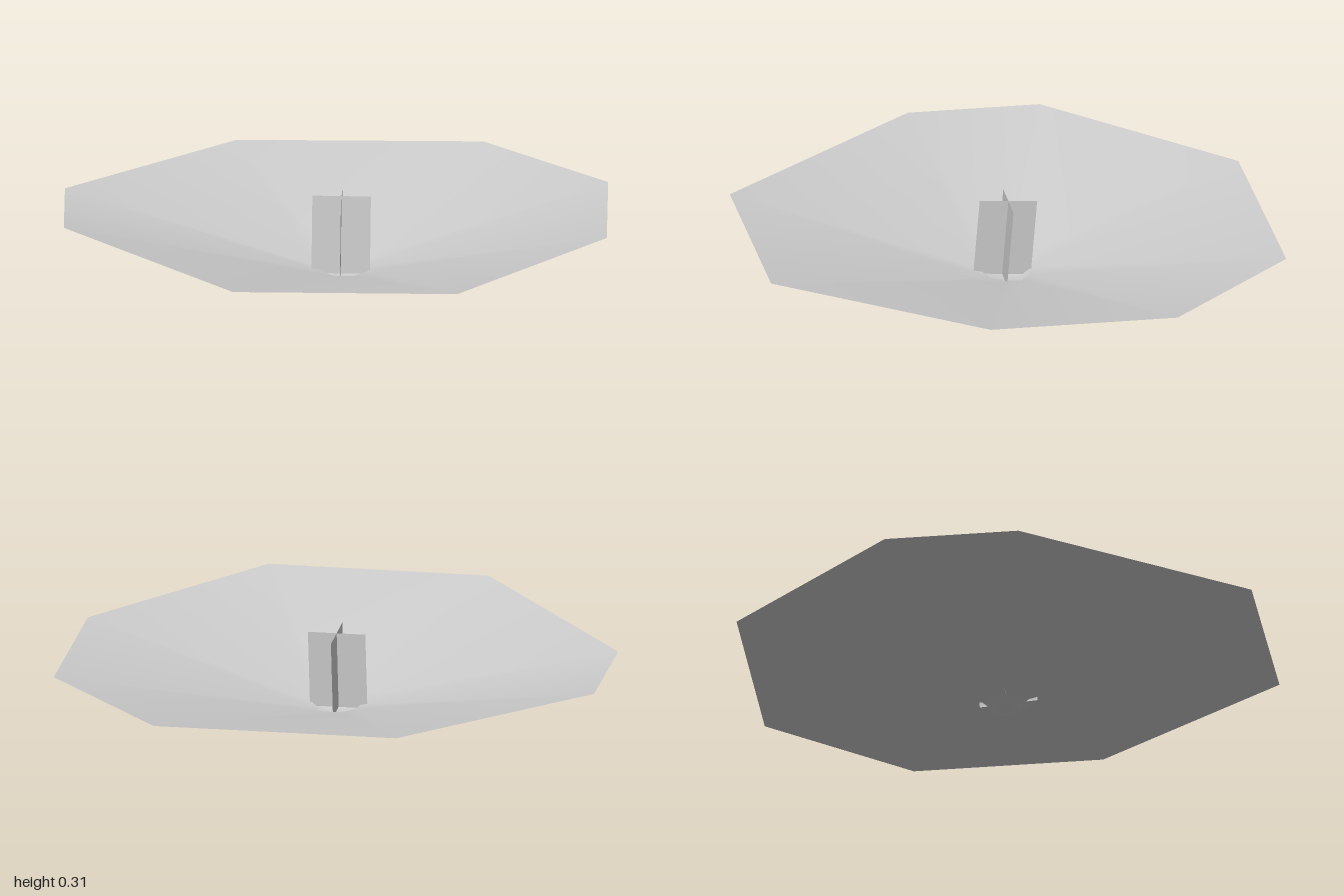
import * as THREE from 'three';

export function createModel() {
  const model = new THREE.Group();
  const gray = new THREE.MeshStandardMaterial({ color: 0xcccccc, side: THREE.DoubleSide });
  gray.name = 'lightGray';

  // Uneven eight-sided outline of the dish, clockwise from above (x, z)
  const outline = [
    [-0.28, -0.97], [0.6, -0.88], [1, -0.35], [0.93, 0.33],
    [0.33, 0.97], [-0.47, 0.88], [-1, 0.05], [-0.95, -0.43],
  ];
  // Cross-sections from the foot up to the rim: scale, height, sideways shift
  const rings = [
    { scale: 0.058, y: 0.003, dx: 0.013, dz: -0.005 },
    { scale: 0.09, y: 0.03, dx: 0.013, dz: -0.008 },
    { scale: 1, y: 0.229, dx: 0, dz: 0 },
  ];

  // Shallow, slightly tilted dish: a closed foot joined to a wide cone
  const n = outline.length;
  const positions = [0.013, 0.003, -0.005];
  const index = [];
  rings.forEach(({ scale, y, dx, dz }, r) => {
    outline.forEach(([x, z], i) => {
      const tilt = scale * (0.014 * z - 0.006 * x);
      positions.push(x * scale + dx, y + tilt, z * scale + dz);
      const a = 1 + r * n + i;
      const b = 1 + r * n + (i + 1) % n;
      if (r === 0) index.push(0, b, a);
      else index.push(a - n, b, a, a - n, b - n, b);
    });
  });
  const dishGeometry = new THREE.BufferGeometry();
  dishGeometry.setAttribute('position', new THREE.Float32BufferAttribute(positions, 3));
  dishGeometry.setIndex(index);
  dishGeometry.computeVertexNormals();
  const dish = new THREE.Mesh(dishGeometry, gray);
  dish.name = 'dish';
  model.add(dish);

  // Two crossed upright cards in the middle, leaning slightly back
  const stem = new THREE.Group();
  stem.name = 'stem';
  const cardGeometry = new THREE.PlaneGeometry(0.21, 0.285);
  ['crossCardWide', 'crossCardDeep'].forEach((name, i) => {
    const card = new THREE.Mesh(cardGeometry, gray);
    card.name = name;
    card.rotation.y = i * Math.PI / 2;
    stem.add(card);
  });
  stem.position.set(0.005, 0.16, -0.008);
  stem.rotation.set(-0.08, -0.12, -0.02);
  model.add(stem);

  return model;
}
